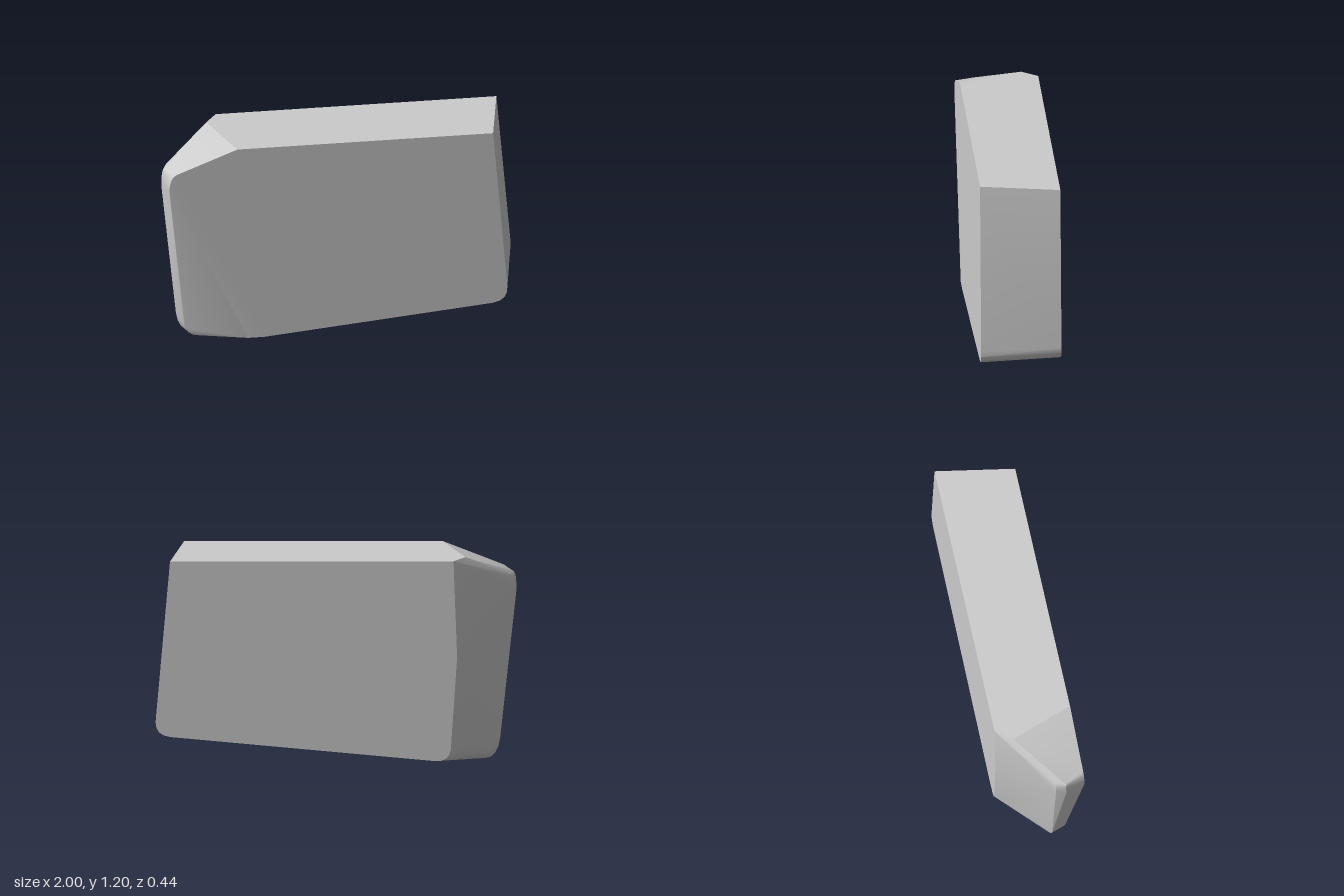
import * as THREE from 'three';
import { ConvexGeometry } from 'three/addons/geometries/ConvexGeometry.js';
import { toCreasedNormals } from 'three/addons/utils/BufferGeometryUtils.js';

const HALF = 0.22; // half thickness

// Rounded corner: points on a quadratic curve from a to b, pulled towards c
function corner(a, c, b, steps = 4) {
  const v = (p) => new THREE.Vector3(...p);
  return new THREE.QuadraticBezierCurve3(v(a), v(c), v(b)).getPoints(steps);
}

export function createModel() {
  const model = new THREE.Group();
  model.name = 'slantedBlock';
  const at = (x, y, z) => new THREE.Vector3(x, y, z);

  const points = [
    // front face: top edge, rounded lower corner, sloping bottom
    at(-0.59, 1.2, HALF), at(0.84, 1.2, HALF),
    ...corner([0.92, 0.24, HALF], [0.925, 0.155, HALF], [0.84, 0.143, HALF]),
    at(-0.44, 0.022, HALF), at(-0.53, 0.022, HALF),
    ...corner([-0.97, 0.96, HALF], [-0.97, 1.045, HALF], [-0.93, 1.065, HALF]),

    // back face: shifted right, with a slightly bowed left edge
    at(-0.65, 1.2, -HALF), at(0.92, 1.2, -HALF),
    ...corner([1, 0.28, -HALF], [1, 0.205, -HALF], [0.92, 0.195, -HALF]),
    ...corner([-0.55, 0.055, -HALF], [-0.625, 0.05, -HALF], [-0.635, 0.12, -HALF]),
    at(-0.67, 0.65, -HALF),

    // upper left chamfer
    at(-0.715, 1.2, -0.13),
    ...corner([-1, 0.95, 0.11], [-1, 1.05, 0.11], [-0.985, 1.055, 0.11]),
    ...corner([-0.985, 0.96, 0.055], [-0.985, 1.04, 0.055], [-0.96, 1.06, 0.055]),

    // lower end of the left ridge, rounded under
    ...corner([-0.91, 0.12, 0.05], [-0.895, 0.005, 0.04], [-0.83, 0.004, 0.04]),
    ...corner([-0.875, 0.09, 0.13], [-0.86, 0.015, 0.13], [-0.8, 0.012, 0.13]),
  ];

  const block = new THREE.Mesh(
    toCreasedNormals(new ConvexGeometry(points), 0.35),
    new THREE.MeshStandardMaterial({ color: 0xcccccc })
  );
  block.name = 'block';
  model.add(block);
  return model;
}
